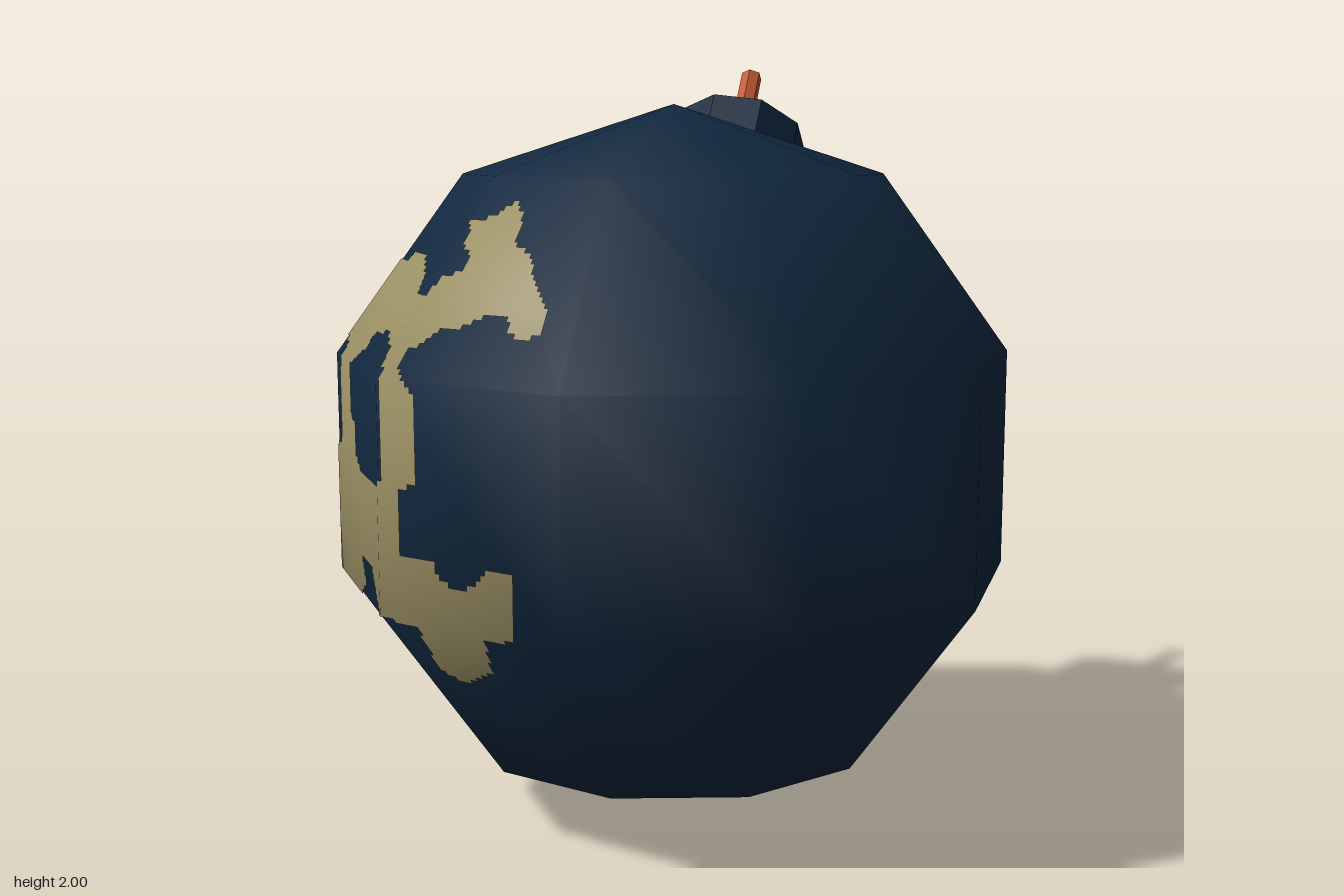
import * as THREE from 'three';

const R = 0.944, SIDES = 10, BANDS = 5, TILT = THREE.MathUtils.degToRad(39);

// Outlines of the painted patch: front faces as [x, y], side faces as [z, y]
const FRONT = [
  [-.89, 1.48], [-.63, 1.48], [-.61, 1.51], [-.53, 1.51], [-.48, 1.46], [-.48, 1.43], [-.43, 1.43], [-.41, 1.47],
  [-.36, 1.48], [-.33, 1.51], [-.36, 1.54], [-.36, 1.6], [-.3, 1.61], [-.24, 1.65], [-.21, 1.62], [-.21, 1.55],
  [-.16, 1.53], [-.13, 1.46], [-.08, 1.41], [-.08, 1.36], [-.13, 1.34], [-.17, 1.35], [-.19, 1.39], [-.24, 1.39],
  [-.31, 1.36], [-.37, 1.35], [-.46, 1.29], [-.46, 1.25], [-.41, 1.2], [-.41, .99], [-.46, .97], [-.46, .82],
  [-.36, .82], [-.36, .79], [-.3, .75], [-.24, .77], [-.2, .82], [-.13, .82], [-.13, .65], [-.22, .64], [-.23, .54],
  [-.33, .48], [-.4, .51], [-.42, .64], [-.53, .65], [-.59, .75], [-.66, .75], [-.63, .69], [-.68, .65], [-.89, .65],
  [-.89, .99], [-.85, .99], [-.81, 1.02], [-.81, 1.21], [-.79, 1.26], [-.82, 1.29], [-.89, 1.3],
];
const FRONT_HOLE = [
  [-.56, 1.33], [-.51, 1.3], [-.51, 1.01], [-.53, .97], [-.65, .97], [-.69, 1.01], [-.69, 1.08], [-.72, 1.1],
  [-.72, 1.23], [-.65, 1.28], [-.64, 1.31],
];
const SIDE = [
  [.4, 1.49], [.22, 1.49], [.12, 1.4], [.06, 1.34], [-.05, 1.34], [-.1, 1.37], [-.11, 1.52], [-.19, 1.52],
  [-.23, 1.46], [-.24, 1.35], [-.3, 1.32], [-.33, 1.25], [-.37, 1.24], [-.37, 1.19], [-.31, 1.18], [-.28, 1.22],
  [-.2, 1.2], [-.1, 1.13], [-.1, .95], [0, .87], [0, .75], [-.19, .69], [-.31, .58], [-.28, .49], [-.15, .5],
  [.05, .52], [.1, .63], [.22, .66], [.4, .65],
];
const SIDE_HOLE = [
  [0, 1.28], [.07, 1.315], [.18, 1.315], [.22, 1.33], [.4, 1.3], [.4, .99], [.08, .99], [0, 1.05],
];

function inside(loop, a, b) {
  let hit = false;
  for (let i = 0, j = loop.length - 1; i < loop.length; j = i++) {
    const [ax, ay] = loop[i], [bx, by] = loop[j];
    if ((ay > b) !== (by > b) && a < ((bx - ax) * (b - ay)) / (by - ay) + ax) hit = !hit;
  }
  return hit;
}

// Corner of the faceted ball: column 0 lies 18 degrees forward of -x
function corner(column, ring) {
  const s = Math.PI / 10 + (column * 2 * Math.PI) / SIDES, t = (ring * Math.PI) / BANDS;
  return new THREE.Vector3(-Math.sin(t) * Math.cos(s), Math.cos(t), Math.sin(t) * Math.sin(s)).multiplyScalar(R);
}

// Fine cells lying just over the facets, kept where they fall inside the outlines
function patchGeometry() {
  const N = 40, positions = [], normals = [];
  for (let column = -2; column < 2; column++) {
    for (let ring = 1; ring < 4; ring++) {
      const [a, b] = [corner(column, ring), corner(column + 1, ring)];
      const [c, d] = [corner(column, ring + 1), corner(column + 1, ring + 1)];
      const at = (u, v) => a.clone().lerp(b, u / N).lerp(c.clone().lerp(d, u / N), v / N);
      for (let u = 0; u < N; u++) {
        for (let v = 0; v < N; v++) {
          const p = at(u + 0.5, v + 0.5), y = p.y + R;
          const painted = column >= 0
            ? inside(FRONT, p.x, y) && !inside(FRONT_HOLE, p.x, y)
            : inside(SIDE, p.z, y) && !inside(SIDE_HOLE, p.z, y);
          if (!painted) continue;
          for (const [i, j] of [[0, 0], [0, 1], [1, 1], [0, 0], [1, 1], [1, 0]]) {
            const q = at(u + i, v + j), n = q.clone().normalize();
            positions.push(...q.addScaledVector(n, 0.004).toArray());
            normals.push(...n.toArray());
          }
        }
      }
    }
  }
  const geometry = new THREE.BufferGeometry();
  geometry.setAttribute('position', new THREE.Float32BufferAttribute(positions, 3));
  geometry.setAttribute('normal', new THREE.Float32BufferAttribute(normals, 3));
  return geometry;
}

export function createModel() {
  const navy = new THREE.MeshStandardMaterial({ color: 0x11283f });
  navy.name = 'navy';
  const gold = new THREE.MeshStandardMaterial({ color: 0x9b9064 });
  gold.name = 'gold';
  const copper = new THREE.MeshStandardMaterial({ color: 0xc65a34 });
  copper.name = 'copper';

  const model = new THREE.Group();
  model.name = 'roundBomb';
  const add = (parent, name, geometry, material) => {
    const mesh = new THREE.Mesh(geometry, material);
    mesh.name = name;
    parent.add(mesh);
    return mesh;
  };

  // Ball with a vertex column facing the front
  const ball = new THREE.SphereGeometry(R, SIDES, BANDS).rotateY(Math.PI / 2);
  add(model, 'body', ball, navy).position.y = R;
  add(model, 'paintedPatch', patchGeometry(), gold).position.y = R;

  // Neck and fuse share an axis leaning backwards from the ball's centre
  const stem = new THREE.Group();
  stem.name = 'neckAndFuse';
  stem.position.y = R;
  stem.rotation.x = -TILT;
  model.add(stem);
  const rod = (radius, from, to, sides, start) =>
    new THREE.CylinderGeometry(radius, radius, to - from, sides, 1, false, start)
      .translate(0, (from + to) / 2, 0).toNonIndexed();
  const neck = rod(0.203, 0.8, 1.1, 9, -Math.PI / 2);
  neck.computeVertexNormals();
  add(stem, 'neck', neck, navy);
  const fuse = rod(0.031, 1.05, 1.34, 6, 0);
  fuse.computeVertexNormals();
  add(stem, 'fuse', fuse, copper);

  return model;
}
